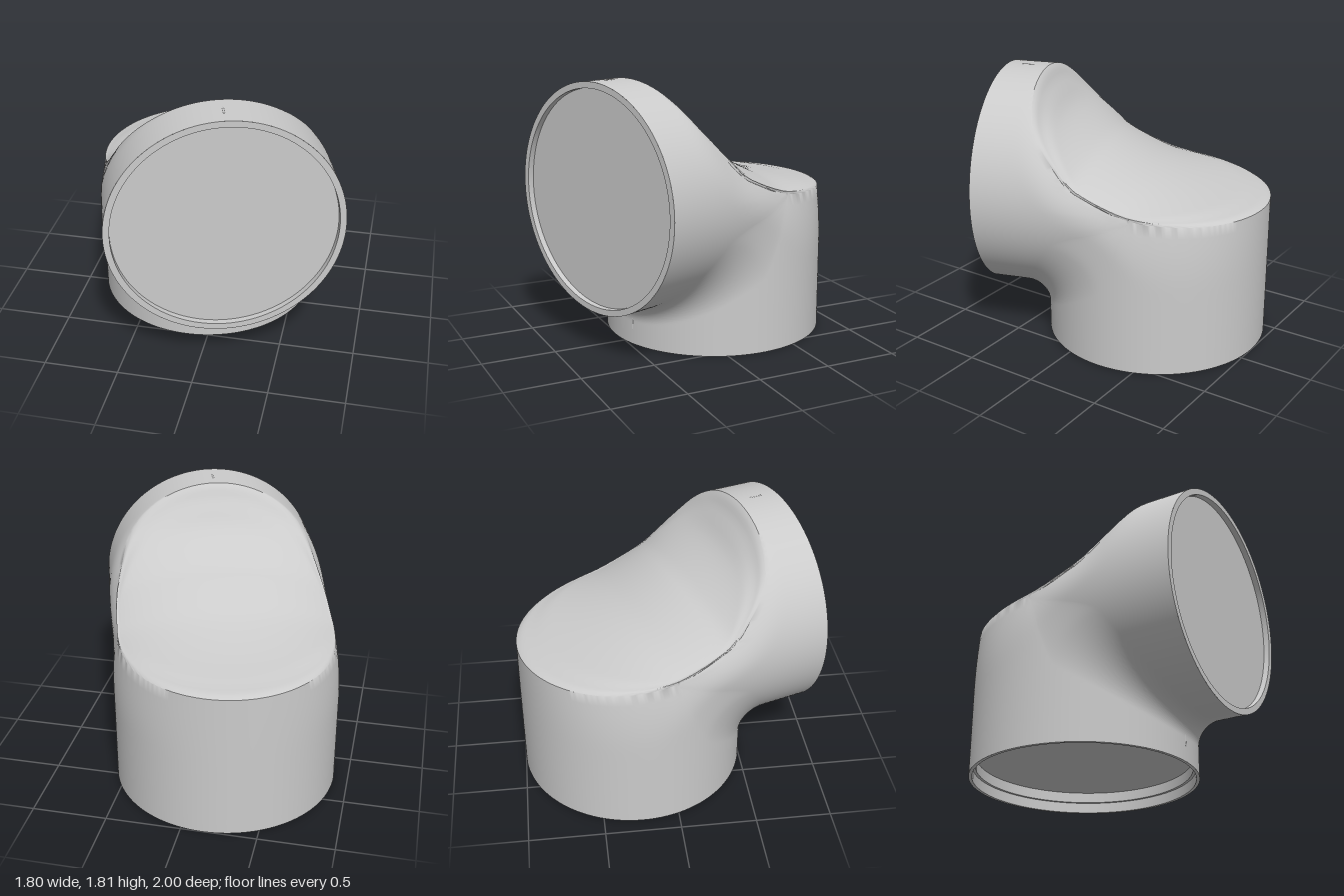
import * as THREE from 'three';
import { toCreasedNormals } from 'three/addons/utils/BufferGeometryUtils.js';

const R = 0.757;      // pipe radius
const H = 1.05;       // height of the horizontal axis
const REACH = 1.063;  // front opening's distance from the vertical axis
const AROUND = 240, LEG = 14, MID = 40;
const smooth = THREE.MathUtils.smoothstep;

// Side profile of the saddle face's rim: x = along the pipe, y = height
const scoop = new THREE.SplineCurve([
  [-R, 1.0], [-0.4, 1.01], [-0.05, 1.035], [0.14, 1.08], [0.37, 1.18],
  [0.49, 1.28], [0.656, 1.49], [0.74, 1.67], [0.775, H + R],
].map(([u, y]) => new THREE.Vector2(u, y))).getSpacedPoints(80);

// Position (as fractional index) where the profile reaches a value on one axis
function locate(axis, value) {
  for (let i = 0; i < scoop.length - 1; i++) {
    const a = scoop[i][axis], b = scoop[i + 1][axis];
    if (value <= b) return i + Math.max(0, (value - a) / (b - a));
  }
  return scoop.length - 1;
}

function scoopAt(s) {
  const i = Math.min(Math.floor(s), scoop.length - 2);
  return scoop[i].clone().lerp(scoop[i + 1], s - i);
}

// One lengthwise line of the elbow: up the vertical leg, round the bend or
// across the saddle face, then out along the horizontal leg
function linePath(u0, v) {
  const corner = H - u0, s0 = locate('x', u0), s1 = locate('y', corner);
  const middle = [];
  if (u0 < 0.05 && scoopAt(s0).y < corner && s1 > s0) {
    const start = scoopAt(s0), end = scoopAt(s1);
    const across = Math.max(0, 1 - (v / 0.74) ** 2);
    for (let k = 0; k <= MID; k++) {
      const s = s0 + (s1 - s0) * (1 - Math.cos(Math.PI * k / MID)) / 2;
      const p = scoopAt(s);
      const tangent = scoopAt(Math.min(s + 1, 80)).sub(scoopAt(Math.max(s - 1, 0))).normalize();
      const e = Math.min(p.distanceTo(start), p.distanceTo(end));
      // The face swells between its side rims, most above the middle of the bend
      const swell = 0.15 * Math.exp(-(((p.x - 0.33) / (p.x < 0.33 ? 0.65 : 0.33)) ** 2));
      const roll = 0.018 * (1 - (1 - Math.min(1, e / 0.06)) ** 2);
      const lift = roll + swell * across * smooth(e, 0, 0.22);
      middle.push(p.add(new THREE.Vector2(-tangent.y, tangent.x).multiplyScalar(lift)));
    }
  } else {
    const r = (0.4 - 0.27 * u0 / R) * smooth(u0, 0.01, 0.25);   // inner bend fillet
    for (let k = 0; k <= MID; k++) {
      const a = Math.PI / 2 * k / MID;
      middle.push(new THREE.Vector2(u0 + r * (1 - Math.cos(a)), corner - r * (1 - Math.sin(a))));
    }
  }
  const path = [];
  for (let k = 0; k < LEG; k++) path.push(new THREE.Vector2(u0, middle[0].y * k / LEG));
  path.push(...middle);
  const last = middle[MID];
  for (let k = 1; k <= LEG; k++) path.push(new THREE.Vector2(last.x + (REACH - last.x) * k / LEG, last.y));
  return path;
}

function shellGeometry() {
  const pos = [], index = [], rows = MID + 1 + 2 * LEG;
  for (let i = 0; i <= AROUND; i++) {
    const a = i / AROUND * Math.PI * 2, v = R * Math.sin(a);
    for (const p of linePath(R * Math.cos(a), v)) {
      // The sides draw in towards the face: gently at the back, tightly in front
      let d = Infinity;
      for (const q of scoop) d = Math.min(d, p.distanceTo(q));
      const range = 0.42 - 0.22 * smooth(p.x, -0.2, 0.3);
      const taper = 0.06 * Math.max(0, 1 - d / range) ** 2 * (1 - smooth(p.x, 0.5, 0.8));
      pos.push(v * (1 - taper), p.y, p.x);
    }
  }
  for (let i = 0; i < AROUND; i++) {
    for (let j = 0; j < rows - 1; j++) {
      const a = i * rows + j, b = a + rows;
      index.push(a, b, a + 1, b, b + 1, a + 1);
    }
  }
  const g = new THREE.BufferGeometry();
  g.setAttribute('position', new THREE.Float32BufferAttribute(pos, 3));
  g.setIndex(index);
  return toCreasedNormals(g, 0.75);
}

// Stepped rim and recessed disc closing an opening
function mouthGeometry(profile) {
  const points = profile.map(([r, y]) => new THREE.Vector2(r, y));
  return toCreasedNormals(new THREE.LatheGeometry(points, 128), 0.6);
}

export function createModel() {
  const material = new THREE.MeshStandardMaterial({ color: 0xcccccc, side: THREE.DoubleSide });
  const elbow = new THREE.Group();
  elbow.name = 'pipeElbow';
  const add = (name, geometry) => {
    const mesh = new THREE.Mesh(geometry, material);
    mesh.name = name;
    elbow.add(mesh);
    return mesh;
  };

  add('elbowShell', shellGeometry());
  add('bottomOpening', mouthGeometry(
    [[R, 0], [0.735, 0], [0.735, 0.07], [0.715, 0.07], [0.715, 0.14], [0, 0.14]]));
  const front = add('frontOpening', mouthGeometry([[R, 0], [0.715, 0], [0.715, 0.04], [0, 0.04]]));
  front.rotation.x = -Math.PI / 2;
  front.position.set(0, H, REACH);

  // Small alignment marks near each opening
  const mark = new THREE.CapsuleGeometry(0.007, 0.08, 4, 8);
  add('lowerMark', mark).position.set(0, 0.145, R - 0.005);
  const upper = add('upperMark', mark);
  upper.rotation.x = Math.PI / 2;
  upper.position.set(0, H + R - 0.005, REACH - 0.145);

  elbow.rotation.y = 0.312;
  elbow.position.set(-0.147, 0, -0.243);
  const model = new THREE.Group();
  model.add(elbow);
  return model;
}
